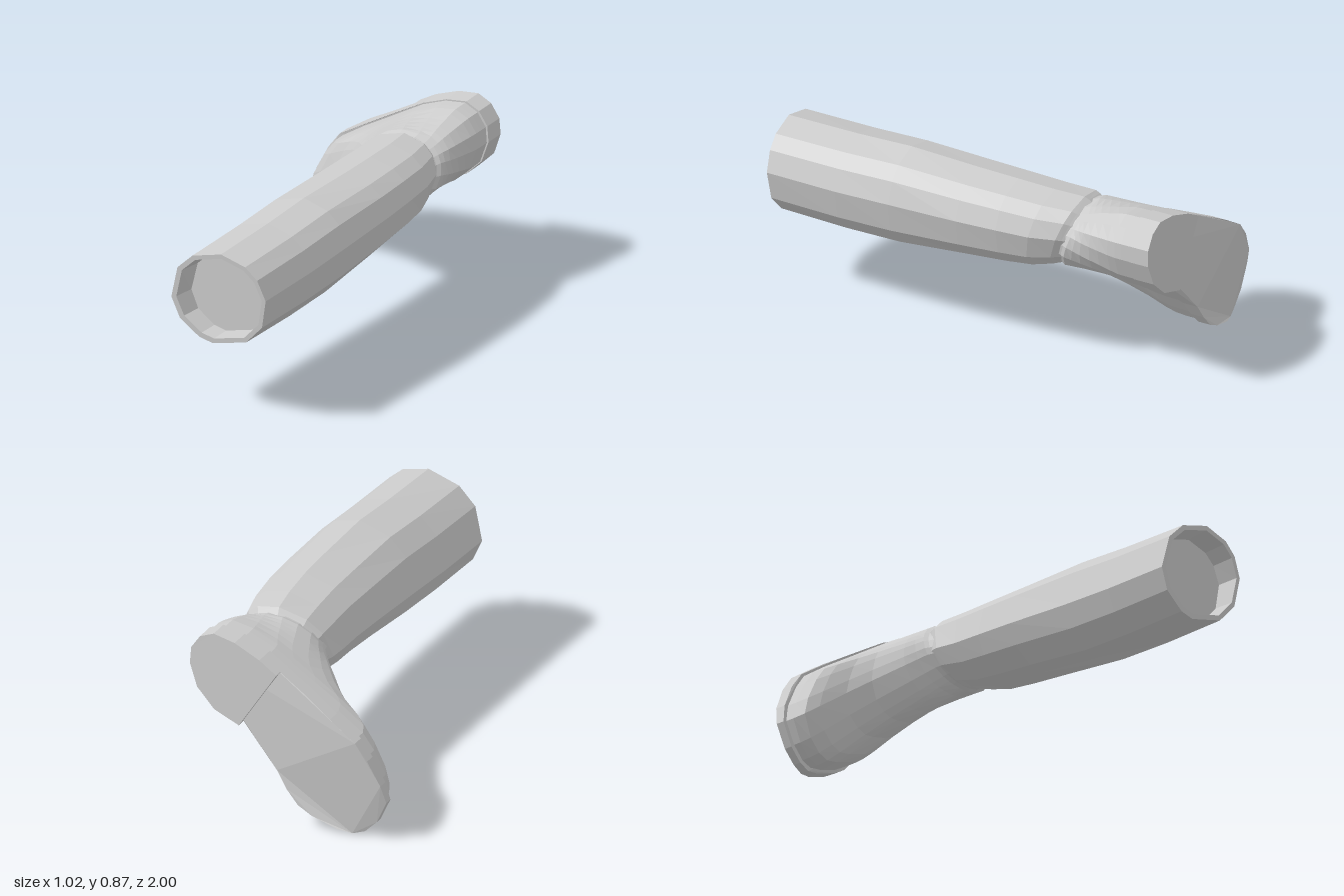
import * as THREE from 'three';

const material = new THREE.MeshStandardMaterial({ color: 0xcccccc, flatShading: true });

// Skin a list of rings (counter-clockwise seen from +z); caps close the ends.
function loft(name, rings, capStart, capEnd) {
  const n = rings[0].length;
  const index = [];
  for (let j = 0; j < rings.length - 1; j++) {
    for (let i = 0; i < n; i++) {
      const k = (i + 1) % n;
      const a = j * n + i, b = j * n + k, c = a + n, d = b + n;
      index.push(a, b, d, a, d, c);
    }
  }
  const cap = (j, flip) => {
    const contour = rings[j].map((p) => new THREE.Vector2(p.x, p.y));
    for (const [a, b, c] of THREE.ShapeUtils.triangulateShape(contour, [])) {
      const o = j * n;
      index.push(o + a, o + (flip ? c : b), o + (flip ? b : c));
    }
  };
  if (capStart) cap(0, true);
  if (capEnd) cap(rings.length - 1, false);
  const geometry = new THREE.BufferGeometry().setFromPoints(rings.flat());
  geometry.setIndex(index);
  geometry.computeVertexNormals();
  const mesh = new THREE.Mesh(geometry, material);
  mesh.name = name;
  return mesh;
}

// Piecewise linear lookup in a list of [key, value].
function lookup(table, x) {
  if (x <= table[0][0]) return table[0][1];
  for (let i = 1; i < table.length; i++) {
    const [x0, y0] = table[i - 1], [x1, y1] = table[i];
    if (x <= x1) return y0 + (y1 - y0) * (x - x0) / (x1 - x0);
  }
  return table[table.length - 1][1];
}

// Sole outline from the toe tip, round the heel and back.
const outline = [
  [-0.46, 0.08], [-0.40, 0.02], [-0.34, 0], [-0.27, 0.015], [-0.15, 0.06],
  [-0.08, 0.10], [-0.02, 0.17], [0.03, 0.25], [0.13, 0.35], [0.22, 0.44],
  [0.35, 0.49], [0.44, 0.58], [0.48, 0.69], [0.475, 0.77], [0.43, 0.835],
  [0.36, 0.865], [0.25, 0.845], [0.12, 0.79], [0.03, 0.735], [-0.10, 0.655],
  [-0.24, 0.57], [-0.37, 0.48], [-0.43, 0.40], [-0.49, 0.28], [-0.51, 0.19],
].map(([x, y]) => new THREE.Vector2(x, y));

// Foot axes: u runs from heel to toe, v across.
const heel = new THREE.Vector2(0.46, 0.79);
const toward = new THREE.Vector2(-0.789, -0.615);
const across = new THREE.Vector2(-0.615, 0.789);
const along = (p) => p.clone().sub(heel).dot(toward);
const aside = (p) => p.clone().sub(heel).dot(across);

const ankle = new THREE.Vector2(0.225, 0.63);
const tilt = (y) => 0.32 * (ankle.y - y);

// Oval point, drawn out a little along the foot's direction.
function oval(cx, cy, rx, ry, angle) {
  const p = new THREE.Vector2(rx * Math.cos(angle), ry * Math.sin(angle));
  const u = p.dot(toward) * 1.06, v = p.dot(across) * 0.945;
  return new THREE.Vector2(cx, cy).addScaledVector(toward, u).addScaledVector(across, v);
}

// Ankle point matching a point of the sole outline.
function anklePoint(p, scale) {
  const u = along(p) - 0.42;
  const angle = Math.atan2(aside(p), u * (u > 0 ? 0.4 : 0.8));
  const dir = toward.clone().multiplyScalar(Math.cos(angle))
    .addScaledVector(across, Math.sin(angle));
  return oval(ankle.x, ankle.y, 0.215 * scale, 0.178 * scale, dir.angle());
}

// Foot: slices that blend from the sole outline to the ankle, fuller at the heel.
function makeFoot() {
  const slices = [ // z, blend, ankle scale
    [-0.95, 0, 1], [-0.88, 0, 1], [-0.83, 0.03, 1], [-0.795, 0.13, 1],
    [-0.755, 0.37, 1], [-0.70, 0.58, 1], [-0.65, 0.71, 1], [-0.60, 0.83, 1],
    [-0.56, 0.93, 1], [-0.525, 1, 1], [-0.505, 1, 0.95], [-0.47, 1, 0.92],
  ];
  const rings = slices.map(([z, blend, scale]) => outline.map((p) => {
    const u = along(p);
    const power = lookup([[0, 2.4], [0.45, 1]], u) * lookup([[0, 1], [0.2, 0.82]], aside(p));
    const t = Math.pow(blend, power);
    const inset = lookup([[0.2, 0.98], [0.7, 0.95]], u);
    const q = new THREE.Vector2(p.x * inset, 0.43 + (p.y - 0.43) * inset);
    q.lerp(anklePoint(p, scale), t);
    return new THREE.Vector3(q.x, q.y, z + t * t * tilt(q.y));
  }));
  return loft('foot', rings, false, false);
}

// Sole: a curved slab with a raised arch.
function makeSole() {
  const top = [[0, -0.872], [0.5, -0.892], [0.8, -0.935], [1, -0.94], [1.15, -0.915]];
  const bottom = [[0.41, -0.95], [0.53, -0.968], [0.7, -0.995], [0.9, -1], [1.05, -0.985], [1.15, -0.955]];
  const ring = (table) => outline.map((p) => new THREE.Vector3(p.x, p.y, lookup(table, along(p))));
  return loft('sole', [ring(bottom), ring(top)], true, true);
}

// Heel block under the back of the sole.
function makeHeel() {
  const part = outline.slice(9, 19);
  const bottom = [[0, -0.972], [0.41, -1]];
  const rings = [
    part.map((p) => new THREE.Vector3(p.x, p.y, lookup(bottom, along(p)))),
    part.map((p) => new THREE.Vector3(p.x, p.y, -0.94)),
  ];
  return loft('heelBlock', rings, true, false);
}

// Shaft: twelve-sided tube with a rim and a shallow opening.
function makeShaft() {
  const degrees = [11, 37, 57, 88, 124, 150, 190, 217, 247, 264, 306, 336];
  const sections = [ // z, centre x, centre y, radius x, radius y, slant
    [-0.51, 0.225, 0.63, 0.2, 0.165, 1],
    [-0.49, 0.226, 0.632, 0.21, 0.175, 1],
    [-0.465, 0.232, 0.634, 0.22, 0.187, 1],
    [-0.35, 0.249, 0.628, 0.235, 0.203, 0.5],
    [-0.2, 0.258, 0.628, 0.243, 0.214, 0],
    [0, 0.259, 0.622, 0.25, 0.226, 0],
    [0.35, 0.253, 0.607, 0.254, 0.252, 0],
    [0.63, 0.241, 0.594, 0.256, 0.248, 0],
    [0.985, 0.225, 0.589, 0.256, 0.242, -0.2],
    [0.985, 0.228, 0.591, 0.232, 0.217, -0.2],
    [0.88, 0.235, 0.59, 0.222, 0.21, 0],
  ];
  const rings = sections.map(([z, cx, cy, rx, ry, slant]) => degrees.map((d) => {
    const p = oval(cx, cy, rx, ry, THREE.MathUtils.degToRad(d));
    return new THREE.Vector3(p.x, p.y, z + slant * tilt(p.y));
  }));
  return loft('shaft', rings, false, true);
}

export function createModel() {
  const boot = new THREE.Group();
  boot.name = 'boot';
  boot.add(makeShaft(), makeFoot(), makeSole(), makeHeel());
  return boot;
}
